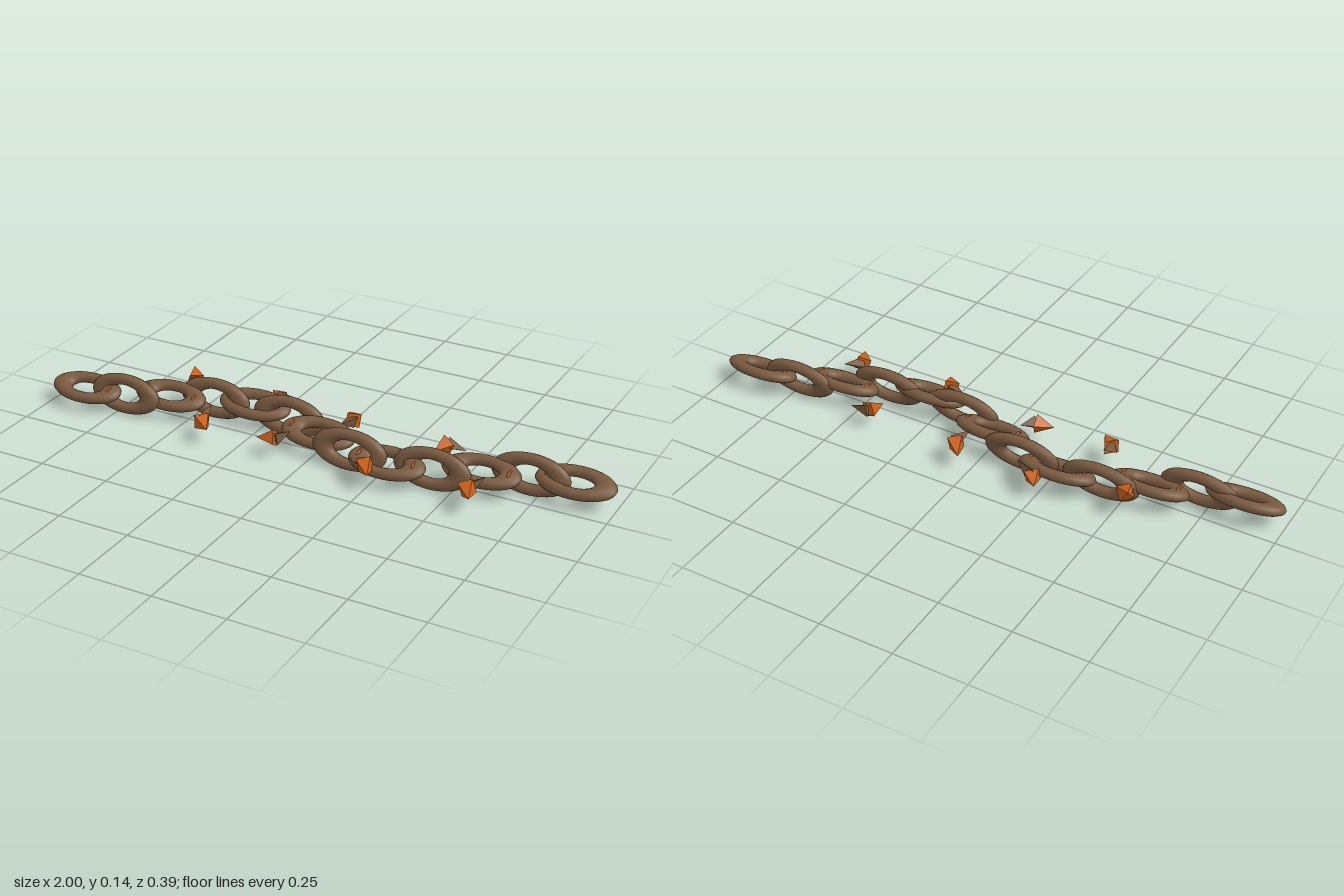
import * as THREE from 'three';

const PITCH = 0.144;
const LINK_Y = 0.068;
// sideways position of each link along the wavy chain
const LINK_Z = [0.076, 0.053, -0.008, -0.065, -0.085, -0.062, 0, 0.055, 0.077, 0.046, -0.013, -0.068, -0.085];

// outer tip, middle and inner tip of each shard
const SHARDS = [
  [[-0.565, 0.125, -0.147], [-0.54, 0.095, -0.112], [-0.55, 0.08, -0.06]],
  [[-0.332, 0.07, 0.158], [-0.382, 0.07, 0.108], [-0.385, 0.1, 0.042]],
  [[-0.262, 0.065, -0.195], [-0.235, 0.075, -0.155], [-0.168, 0.1, -0.137]],
  [[-0.168, 0.065, 0.115], [-0.107, 0.07, 0.1], [-0.075, 0.08, 0.052]],
  [[0.022, 0.07, -0.185], [0.065, 0.075, -0.125], [0.05, 0.085, -0.06]],
  [[0.275, 0.072, 0.192], [0.237, 0.075, 0.13], [0.172, 0.07, 0.115]],
  [[0.39, 0.07, -0.055], [0.41, 0.075, -0.115], [0.48, 0.068, -0.115]],
  [[0.615, 0.072, 0.178], [0.58, 0.07, 0.108], [0.618, 0.09, 0.052]],
];

export function createModel() {
  const model = new THREE.Group();
  const iron = new THREE.MeshStandardMaterial({ name: 'rusty iron', color: 0x7a5a40 });
  const ironFlat = new THREE.MeshStandardMaterial({ name: 'rusty iron facets', color: 0x7a5a40, flatShading: true });
  const ember = new THREE.MeshStandardMaterial({ name: 'orange rust', color: 0xc8601c, flatShading: true });

  const add = (geometry, material, name, parent = model) => {
    const mesh = new THREE.Mesh(geometry, material);
    mesh.name = name;
    parent.add(mesh);
    return mesh;
  };

  // long oval link lying flat, round in its cross-section
  const linkGeometry = new THREE.TorusGeometry(0.0495, 0.0195, 12, 40);
  linkGeometry.rotateX(Math.PI / 2);
  linkGeometry.scale(1.95, 1, 1);
  const bandGeometry = new THREE.TorusGeometry(0.021, 0.005, 6, 16);
  bandGeometry.rotateY(Math.PI / 2);

  // links alternate between lying and standing, each leaning a little
  LINK_Z.forEach((z, i) => {
    const x = (i - 6) * PITCH;
    const standing = i % 2 === 1;
    const link = add(linkGeometry, iron, standing ? 'standingLink' : 'lyingLink');
    link.position.set(x, LINK_Y, z);
    link.rotation.x = standing ? Math.PI / 2 - 0.2 + 0.4 : 0.3;
    // rust rings where the lying links meet their neighbours
    if (!standing) {
      for (const side of [-1, 1]) {
        if (Math.abs(x + side * 0.1) > 0.9) continue;
        add(bandGeometry, ember, 'rustRing').position.set(x + side * 0.095, LINK_Y, z);
      }
    } else {
      link.rotation.x = Math.PI / 2 - 0.19;
    }
  });

  // pointed shard from a base centre to a tip
  const up = new THREE.Vector3(0, 1, 0);
  const spike = (base, tip, radius, sides, material, name, parent) => {
    const a = new THREE.Vector3(...base);
    const direction = new THREE.Vector3(...tip).sub(a);
    const length = direction.length();
    const geometry = new THREE.ConeGeometry(radius, length, sides);
    geometry.translate(0, length / 2, 0);
    const mesh = add(geometry, material, name, parent);
    mesh.position.copy(a);
    mesh.quaternion.setFromUnitVectors(up, direction.normalize());
  };

  // flakes of rust around the chain
  SHARDS.forEach(([outer, middle, inner]) => {
    const shard = new THREE.Group();
    shard.name = 'rustShard';
    model.add(shard);
    spike(middle, outer, 0.034, 4, ember, 'orangeTip', shard);
    spike(middle, inner, 0.026, 3, ironFlat, 'brownTip', shard);
  });

  return model;
}
